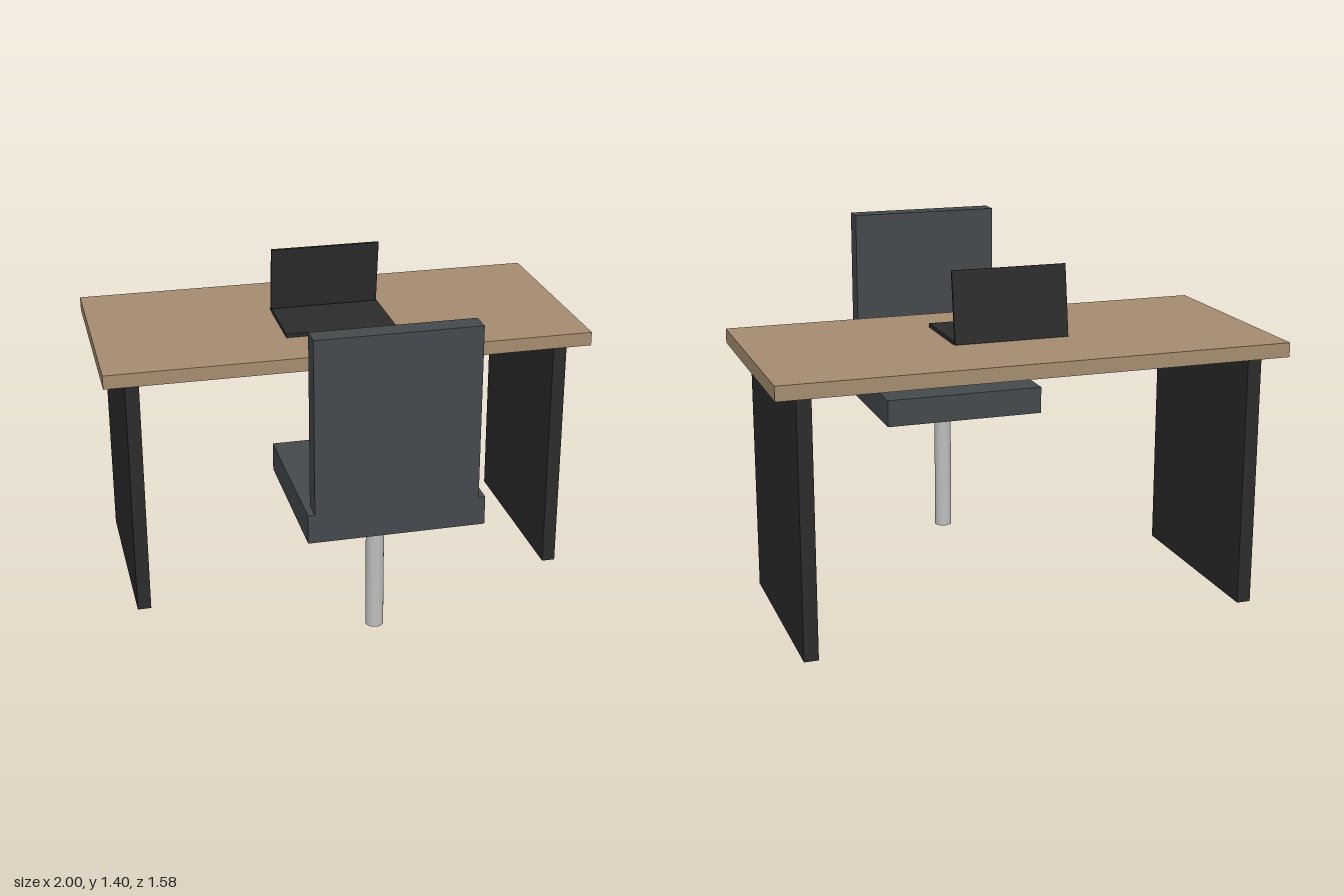
import * as THREE from 'three';

const material = (name, color) => {
  const m = new THREE.MeshStandardMaterial({ color });
  m.name = name;
  return m;
};

export function createModel() {
  const wood = material('wood', 0xa58c70);
  const black = material('black panel', 0x2b2b2b);
  const fabric = material('grey upholstery', 0x44494d);
  const metal = material('light metal', 0xbdbdbd);

  const box = (parent, name, mat, [w, h, d], [x, y, z]) => {
    const mesh = new THREE.Mesh(new THREE.BoxGeometry(w, h, d), mat);
    mesh.name = name;
    mesh.position.set(x, y, z);
    parent.add(mesh);
    return mesh;
  };
  const group = (name) => {
    const g = new THREE.Group();
    g.name = name;
    return g;
  };

  // Desk: wooden top on two full-depth side panels
  const desk = group('desk');
  box(desk, 'deskTop', wood, [2, 0.057, 0.925], [0, 1.0445, -0.3275]);
  for (const [side, name] of [[1, 'leftLegPanel'], [-1, 'rightLegPanel']]) {
    box(desk, name, black, [0.056, 1.016, 0.815], [side * 0.885, 0.508, -0.3225]);
  }

  // Chair: seat, backrest and a single column
  const chair = group('chair');
  box(chair, 'seat', fabric, [0.68, 0.114, 0.655], [0, 0.66, 0.4625]);
  box(chair, 'backrest', fabric, [0.628, 0.684, 0.085], [0, 1.059, 0.7475]);
  const column = new THREE.Mesh(new THREE.CylinderGeometry(0.036, 0.036, 0.573, 32), metal);
  column.name = 'chairColumn';
  column.position.set(0, 0.3165, 0.4625);
  chair.add(column);

  // Laptop: flat base and a screen leaning slightly forward
  const laptop = group('laptop');
  box(laptop, 'laptopBase', black, [0.46, 0.016, 0.312], [0, 1.081, -0.254]);
  const screen = box(laptop, 'laptopScreen', black, [0.46, 0.283, 0.011], [0, 1.2155, -0.41]);
  screen.rotation.x = 0.147;

  const model = group('deskWithChair');
  model.add(desk, chair, laptop);
  return model;
}
